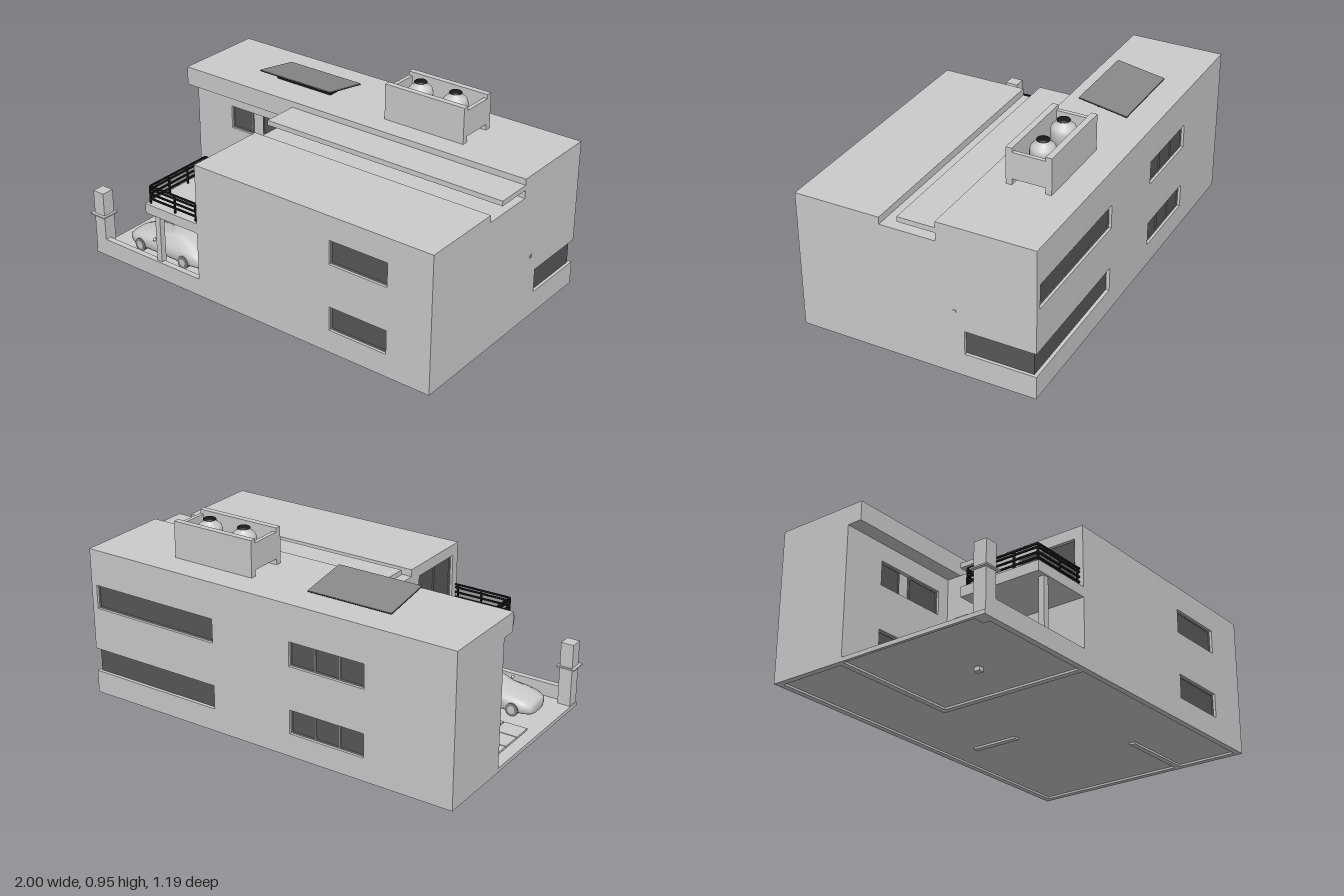
import * as THREE from 'three';

const mat = (color) => new THREE.MeshStandardMaterial({ color, side: THREE.DoubleSide });
const grey = mat(0xcccccc), glass = mat(0x585858), black = mat(0x181818), panelGrey = mat(0x888888);

function add(parent, name, geo, material = grey) {
  const m = new THREE.Mesh(geo, material);
  m.name = name;
  parent.add(m);
  return m;
}

// Box given by its limits on each axis
function box(parent, name, [x0, x1], [y0, y1], [z0, z1], material) {
  const m = add(parent, name, new THREE.BoxGeometry(x1 - x0, y1 - y0, z1 - z0), material);
  m.position.set((x0 + x1) / 2, (y0 + y1) / 2, (z0 + z1) / 2);
  return m;
}

const T = 0.03; // wall thickness
const LOW = [0.125, 0.245], HIGH = [0.46, 0.58];

// Wall from an outline with rectangular holes [u0, u1, v0, v1]
function wallGeometry(outline, holes) {
  const s = new THREE.Shape(outline.map(([u, v]) => new THREE.Vector2(u, v)));
  for (const [u0, u1, v0, v1] of holes) {
    s.holes.push(new THREE.Path([[u0, v0], [u0, v1], [u1, v1], [u1, v0]].map(([u, v]) => new THREE.Vector2(u, v))));
  }
  return new THREE.ExtrudeGeometry(s, { depth: T, bevelEnabled: false });
}
const rect = (u0, u1, v0, v1) => [[u0, v0], [u1, v0], [u1, v1], [u0, v1]];

// Wall facing along z, occupying z .. z + T
function wallZ(parent, name, z, outline, holes = []) {
  add(parent, name, wallGeometry(outline, holes)).position.z = z;
}
// Wall facing along x, occupying x - T .. x
function wallX(parent, name, x, outline, holes = []) {
  add(parent, name, wallGeometry(outline, holes).rotateY(-Math.PI / 2)).position.x = x;
}

// Glazing with a thin frame and mullions, set in a wall facing along z
function windowZ(parent, x0, x1, [y0, y1], z, panes) {
  const g = new THREE.Group();
  g.name = 'window';
  parent.add(g);
  const f = 0.007, d = [z - 0.007, z + 0.007];
  box(g, 'glass', [x0, x1], [y0, y1], [z - 0.003, z + 0.003], glass);
  for (let i = 0; i <= panes; i++) {
    const x = x0 + f / 2 + ((x1 - x0 - f) * i) / panes;
    box(g, 'mullion', [x - f / 2, x + f / 2], [y0, y1], d, panelGrey);
  }
  for (const y of [y0, y1 - f]) box(g, 'frameRail', [x0, x1], [y, y + f], d, panelGrey);
}

function buildHouse(root) {
  const g = new THREE.Group();
  g.name = 'house';
  root.add(g);
  const H = 0.665;
  // Walls; the lower window wraps round the back left corner
  wallX(g, 'leftWall', 1, [[-0.6, 0.01], [0.575, 0.01], [0.575, H], [-0.6, H],
    [-0.6, LOW[1]], [-0.255, LOW[1]], [-0.255, LOW[0]], [-0.6, LOW[0]]]);
  wallZ(g, 'backWall', -0.6, [[-0.96, 0.01], [0.97, 0.01], [0.97, LOW[0]], [0.28, LOW[0]],
    [0.28, LOW[1]], [0.97, LOW[1]], [0.97, H], [-0.96, H]],
  [[0.28, 0.97, ...HIGH], [-0.54, -0.145, ...HIGH], [-0.54, -0.145, ...LOW]]);
  box(g, 'cornerWindow', [0.27, 0.985], [0.12, 0.25], [-0.583, -0.25], glass);
  windowZ(g, 0.28, 0.97, HIGH, -0.58, 1);
  wallZ(g, 'frontWall', 0.545, rect(-0.28, 0.97, 0.01, H), [[0.46, 0.77, ...HIGH], [0.46, 0.77, ...LOW]]);
  wallX(g, 'rightWall', -0.96, rect(-0.6, -0.2, 0.01, H));
  wallX(g, 'terraceSideWall', -0.28, rect(-0.2, 0.575, 0.01, H), [[0.22, 0.53, 0.4, 0.645]]);
  wallZ(g, 'courtWall', -0.23, rect(-0.96, -0.28, 0.01, H), [[-0.765, -0.375, ...HIGH], [-0.765, -0.375, ...LOW]]);
  for (const level of [LOW, HIGH]) {
    windowZ(g, 0.46, 0.77, level, 0.555, 1);
    windowZ(g, -0.54, -0.145, level, -0.58, 3);
    windowZ(g, -0.765, -0.635, level, -0.218, 1);
    windowZ(g, -0.57, -0.375, level, -0.218, 1);
    box(g, 'windowInfill', [-0.635, -0.57], level, [-0.228, -0.22]);
  }
  // Terrace sliding door
  box(g, 'terraceDoorGlass', [-0.293, -0.287], [0.4, 0.645], [0.22, 0.53], glass);
  for (const z of [0.22, 0.37, 0.52]) box(g, 'terraceDoorFrame', [-0.298, -0.282], [0.4, 0.645], [z, z + 0.01], panelGrey);

  // Stepped roofs and canopy
  box(g, 'backRoof', [-0.99, 1], [H, 0.76], [-0.6, -0.125]);
  box(g, 'frontRoof', [-0.31, 1], [H, 0.7], [0.15, 0.575]);
  box(g, 'middleRoof', [-0.28, 0.97], [0.64, H], [-0.2, 0.16]);
  box(g, 'roofCanopy', [-0.31, 1], [0.705, 0.73], [-0.125, 0.06]);

  // Ground slab, skirt and footings
  box(g, 'groundSlab', [-0.985, 0.98], [0.02, 0.03], [-0.59, 0.565]);
  box(g, 'slabSkirt', [-0.99, -0.975], [0.01, 0.03], [-0.2, 0.575]);
  box(g, 'footing', [0.57, 0.97], [0.01, 0.03], [0.21, 0.24]);
  box(g, 'footing', [0.165, 0.195], [0.01, 0.03], [-0.42, -0.17]);
  box(g, 'drainPipe', [-0.585, -0.555], [0, 0.02], [0.19, 0.22]);
  box(g, 'wallLamp', [1, 1.003], [0.328, 0.343], [-0.217, -0.202]);
}

function buildTerrace(root) {
  const g = new THREE.Group();
  g.name = 'terrace';
  root.add(g);
  box(g, 'terraceSlab', [-0.635, -0.31], [0.345, 0.395], [0.15, 0.575]);
  for (const z of [0.2, 0.535]) box(g, 'pillar', [-0.585, -0.555], [0.03, 0.345], [z, z + 0.03]);
  // Railing on three sides
  const [x0, x1, z0, z1] = [-0.615, -0.315, 0.172, 0.557], r = 0.004;
  for (const y of [0.42, 0.445, 0.47, 0.486]) {
    for (const z of [z0, z1]) box(g, 'rail', [x0, x1], [y - r, y + r], [z - r, z + r], black);
    box(g, 'rail', [x0 - r, x0 + r], [y - r, y + r], [z0, z1], black);
  }
  const post = (x, z) => box(g, 'railPost', [x - r, x + r], [0.395, 0.486], [z - r, z + r], black);
  for (const z of [z0, z1]) for (const x of [x0, -0.46, -0.33]) post(x, z);
  for (const t of [1 / 3, 2 / 3]) post(x0, z0 + (z1 - z0) * t);
}

function buildYard(root) {
  const g = new THREE.Group();
  g.name = 'yard';
  root.add(g);
  box(g, 'frontParapet', [-0.985, -0.31], [0.01, 0.1], [0.545, 0.575]);
  box(g, 'gatePost', [-0.985, -0.92], [0.01, 0.35], [0.51, 0.575]);
  box(g, 'gatePostPlate', [-1, -0.907], [0.222, 0.229], [0.5, 0.59]);
  // Patio paving with open joints
  for (let i = 0; i < 5; i++) for (let j = 0; j < 3; j++) {
    const x = -0.93 + i * 0.124, z = -0.125 + j * 0.105;
    box(g, 'paver', [x, x + 0.118], [0.03, 0.04], [z, z + 0.1]);
  }
}

function buildCar(root) {
  const g = new THREE.Group();
  g.name = 'car';
  g.position.set(0, 0.03, 0.365);
  root.add(g);
  // Cross-sections along x: position, half width, waist height, top height, top half width
  const st = [[-0.893, 0.04, 0.05, 0.055, 0.03], [-0.885, 0.07, 0.06, 0.068, 0.05], [-0.85, 0.09, 0.07, 0.082, 0.06],
    [-0.79, 0.096, 0.08, 0.095, 0.065], [-0.72, 0.096, 0.086, 0.103, 0.07], [-0.65, 0.096, 0.088, 0.138, 0.062],
    [-0.6, 0.096, 0.088, 0.147, 0.06], [-0.54, 0.096, 0.088, 0.143, 0.06], [-0.48, 0.095, 0.086, 0.115, 0.062],
    [-0.44, 0.085, 0.075, 0.088, 0.06], [-0.422, 0.06, 0.055, 0.062, 0.04]];
  const pos = [], idx = [], N = 12;
  for (const [x, w, waist, top, tw] of st) {
    const half = [[w * 0.85, 0.016], [w, 0.03], [w, waist * 0.7], [w * 0.95, waist], [tw, top - 0.006], [tw * 0.6, top]];
    for (const [z, y] of half) pos.push(x, y, z);
    for (const [z, y] of half.reverse()) pos.push(x, y, -z);
  }
  for (let i = 0; i < st.length - 1; i++) for (let j = 0; j < N; j++) {
    const a = i * N + j, b = i * N + ((j + 1) % N);
    idx.push(a, a + N, b, b, a + N, b + N);
  }
  for (let j = 1; j < N - 1; j++) {
    const e = (st.length - 1) * N;
    idx.push(0, j, j + 1, e, e + j + 1, e + j);
  }
  const body = new THREE.BufferGeometry();
  body.setAttribute('position', new THREE.Float32BufferAttribute(pos, 3));
  body.setIndex(idx);
  body.computeVertexNormals();
  add(g, 'carBody', body);
  for (const s of [-1, 1]) {
    for (const x of [-0.8, -0.52]) {
      const tyre = add(g, 'tyre', new THREE.CylinderGeometry(0.033, 0.033, 0.025, 20).rotateX(Math.PI / 2), panelGrey);
      tyre.position.set(x, 0.033, s * 0.086);
      const hub = add(g, 'hub', new THREE.CylinderGeometry(0.02, 0.02, 0.028, 16).rotateX(Math.PI / 2));
      hub.position.copy(tyre.position);
    }
    const mirror = add(g, 'wingMirror', new THREE.SphereGeometry(0.01, 10, 8));
    mirror.scale.x = 0.7;
    mirror.position.set(-0.7, 0.097, s * 0.098);
  }
}

function buildRoofEquipment(root) {
  const g = new THREE.Group();
  g.name = 'roofEquipment';
  root.add(g);
  // Tilted solar panel on a dark stand
  const panel = new THREE.Group();
  panel.name = 'solarPanel';
  panel.position.set(-0.372, 0.795, -0.343);
  panel.rotation.x = -0.165;
  g.add(panel);
  box(panel, 'panelFace', [-0.217, 0.217], [0, 0.003], [-0.124, 0.124], panelGrey);
  box(panel, 'panelBack', [-0.217, 0.217], [-0.004, 0], [-0.124, 0.124], black);
  box(g, 'panelStand', [-0.54, -0.21], [0.76, 0.788], [-0.38, -0.295], black);

  // Open-topped tank enclosure
  for (const z of [-0.46, -0.27]) box(g, 'enclosureWall', [0.155, 0.595], [0.76, 0.94], [z, z + 0.03]);
  for (const x of [0.155, 0.575]) box(g, 'enclosureEnd', [x, x + 0.02], [0.79, 0.92], [-0.43, -0.27]);
  box(g, 'enclosureFloor', [0.175, 0.575], [0.79, 0.805], [-0.43, -0.27]);
  const profile = [[0, 0], [0.06, 0], [0.06, 0.09], [0.055, 0.108], [0.042, 0.121], [0.03, 0.127], [0.03, 0.138], [0, 0.138]]
    .map(([r, y]) => new THREE.Vector2(r, y));
  for (const x of [0.275, 0.47]) {
    add(g, 'waterTank', new THREE.LatheGeometry(profile, 28)).position.set(x, 0.805, -0.355);
    const lid = add(g, 'tankLid', new THREE.SphereGeometry(0.031, 24, 8, 0, Math.PI * 2, 0, Math.PI / 2), black);
    lid.scale.y = 0.35;
    lid.position.set(x, 0.943, -0.355);
  }
}

export function createModel() {
  const root = new THREE.Group();
  root.name = 'houseModel';
  buildHouse(root);
  buildTerrace(root);
  buildYard(root);
  buildCar(root);
  buildRoofEquipment(root);
  return root;
}
